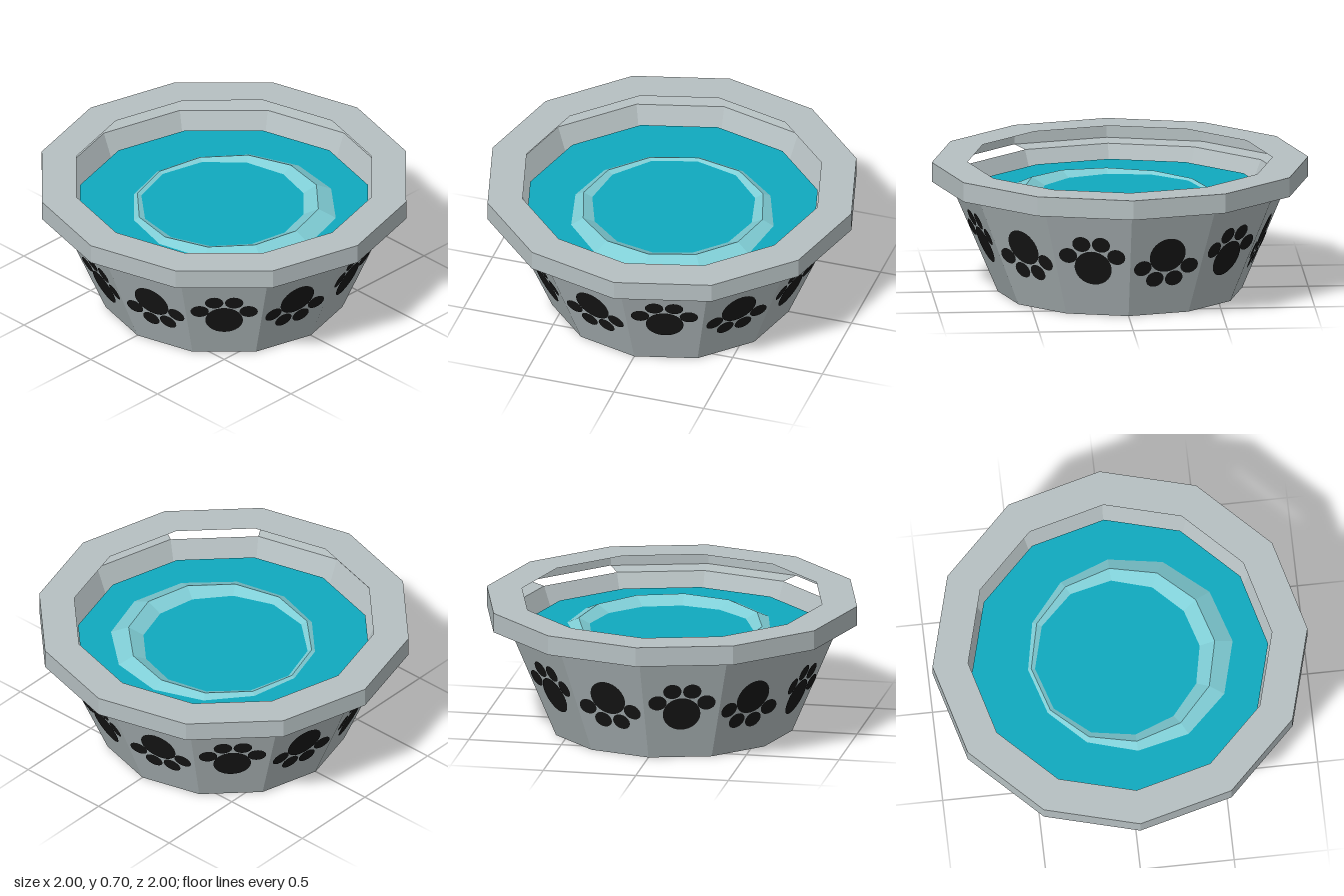
import * as THREE from 'three';

const SIDES = 12, STEP = Math.PI * 2 / SIDES;

const gray = new THREE.MeshStandardMaterial({ color: 0xb6c0c2, side: THREE.DoubleSide });
gray.name = 'bowlGray';
const teal = new THREE.MeshStandardMaterial({ color: 0x10aabf, side: THREE.DoubleSide });
teal.name = 'waterTeal';
const paleTeal = new THREE.MeshStandardMaterial({ color: 0x80ced6, side: THREE.DoubleSide });
paleTeal.name = 'rippleTeal';
const black = new THREE.MeshStandardMaterial({ color: 0x181818 });
black.name = 'pawBlack';

function addMesh(parent, name, geometry, material) {
  const mesh = new THREE.Mesh(geometry, material);
  mesh.name = name;
  parent.add(mesh);
  return mesh;
}

// Faceted surface of revolution covering `count` of the twelve sides
function faceted(profile, first = 0, count = SIDES) {
  const points = profile.map(([r, y]) => new THREE.Vector2(r, y));
  const g = new THREE.LatheGeometry(points, count, first * STEP, count * STEP).toNonIndexed();
  g.computeVertexNormals();
  return g;
}

// Paw print in its own plane: toes up, pad at the origin
function makePaw() {
  const paw = new THREE.Group();
  const pad = addMesh(paw, 'pawPad', new THREE.CircleGeometry(0.1, 28), black);
  pad.scale.y = 1.06;
  for (const side of [-1, 1]) {
    for (const [x, y, turn] of [[0.13, 0.075, 0.25], [0.053, 0.15, 0.1]]) {
      const toe = addMesh(paw, 'pawToe', new THREE.CircleGeometry(0.047, 20), black);
      toe.position.set(side * x, y, 0);
      toe.scale.set(1.04, 1.02, 1);
      toe.rotation.z = side * turn;
    }
  }
  return paw;
}

export function createModel() {
  const model = new THREE.Group();
  model.name = 'petBowl';

  // Tapered thin-walled bowl with a flat base
  const bottomR = 0.65, topR = 0.9, wallTop = 0.59;
  addMesh(model, 'bowlWall', faceted([[bottomR, 0], [topR, wallTop]]), gray);
  const base = new THREE.CircleGeometry(bottomR, SIDES).rotateX(Math.PI / 2);
  addMesh(model, 'bowlBase', base, gray);

  // Hollow rim; two panels of its underside are left open
  addMesh(model, 'rim', faceted([[1, 0.6], [1, 0.705], [0.81, 0.705]]), gray);
  for (const [first, count] of [[2, 2], [5, 8]]) {
    addMesh(model, 'rimUnderside', faceted([[topR, wallTop], [1, 0.6]], first, count), gray);
  }

  // Water surface and a slightly tilted ripple breaking through it
  const waterY = 0.53;
  const water = addMesh(model, 'water', new THREE.CircleGeometry(0.79, SIDES).rotateX(-Math.PI / 2), teal);
  water.position.y = waterY;
  const ripple = addMesh(model, 'ripple',
    faceted([[0.615, -0.034], [0.492, 0.026], [0.369, -0.034]]), paleTeal);
  ripple.position.set(0.018, waterY, -0.012);
  ripple.rotation.set(0.007, 0.04, 0.034);

  // Paw prints, one per side, alternately upright and upside down
  const padHeights = [0.335, 0.265, 0.35, 0.3, 0.36, 0.28, 0.35, 0.28, 0.345, 0.27, 0.335, 0.245];
  const turns = [0.12, 0, 0, 0, 0, 0, 0, 0, 0, 0, -0.1, -0.18];
  const flat = Math.cos(STEP / 2), slope = (topR - bottomR) / wallTop * flat;
  const lean = Math.atan(slope);
  padHeights.forEach((y, i) => {
    const holder = new THREE.Group();
    holder.name = 'pawPrint';
    holder.rotation.order = 'YXZ';
    const angle = (i + 0.5) * STEP;
    const reach = bottomR * flat + slope * y + 0.005;
    holder.position.set(Math.sin(angle) * reach, y, Math.cos(angle) * reach);
    holder.rotation.set(lean, angle, (i % 2 ? 0 : Math.PI) + turns[i]);
    holder.add(makePaw());
    model.add(holder);
  });

  return model;
}
